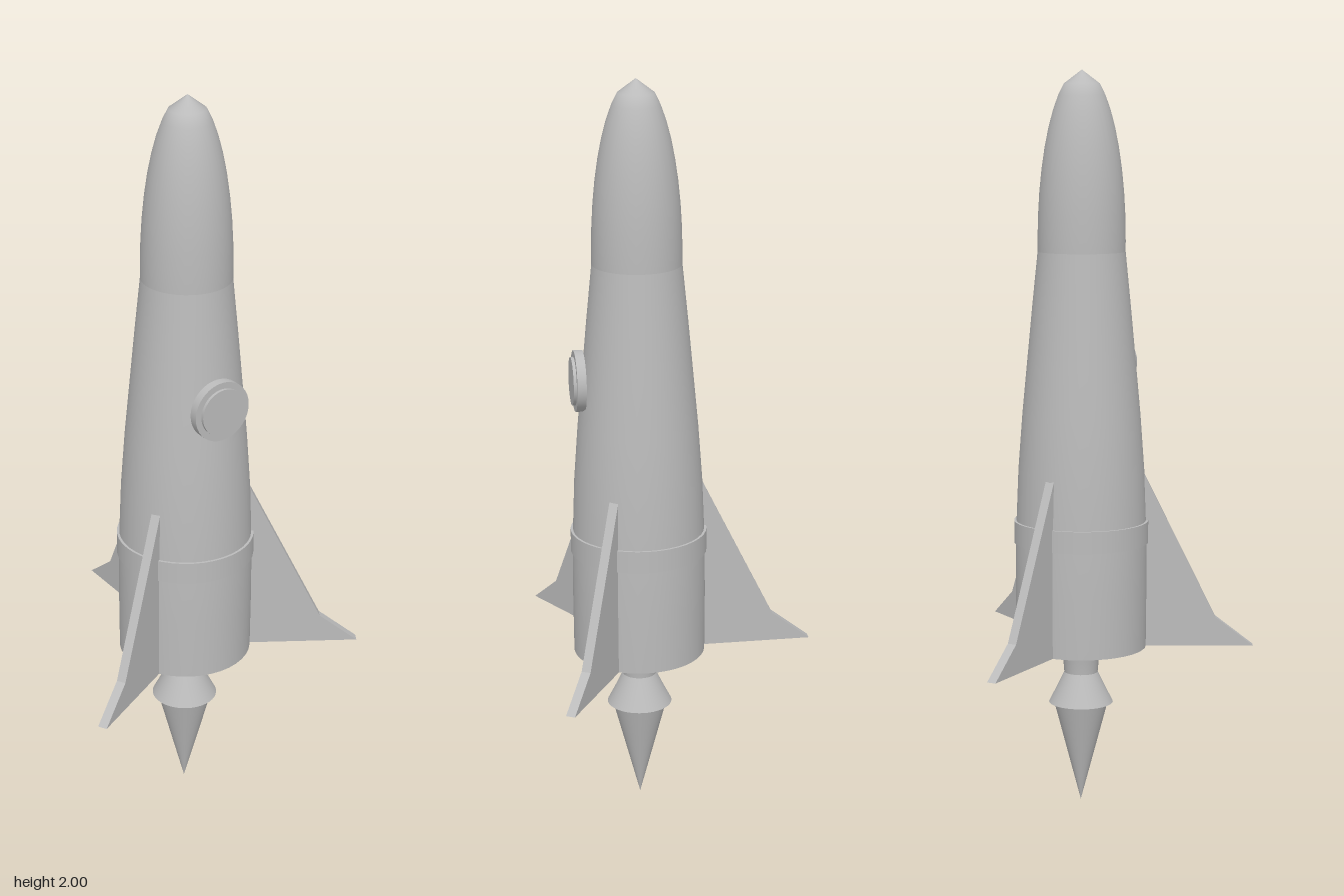
import * as THREE from 'three';

export function createModel() {
  const model = new THREE.Group();
  model.name = 'rocket';
  const grey = new THREE.MeshStandardMaterial({ color: 0xbbbbbb });
  grey.name = 'plain grey';

  // everything turns around one upright axis, set forward of the origin
  const rocket = new THREE.Group();
  rocket.name = 'rocketAssembly';
  rocket.position.z = 0.111;
  model.add(rocket);

  const add = (name, geometry, parent = rocket) => {
    const mesh = new THREE.Mesh(geometry, grey);
    mesh.name = name;
    parent.add(mesh);
    return mesh;
  };
  // profile points are [radius, height], bottom to top
  const lathe = (points) =>
    new THREE.LatheGeometry(points.map(([r, y]) => new THREE.Vector2(r, y)), 40);

  // tapered hull and its flat base
  add('hull', lathe([
    [0.178, 0.44], [0.179, 0.6], [0.178, 0.75], [0.171, 0.93],
    [0.16, 1.08], [0.147, 1.22], [0.133, 1.37], [0.118, 1.52],
  ]));
  const base = add('hullBase', new THREE.CircleGeometry(0.178, 40));
  base.rotation.x = Math.PI / 2;
  base.position.y = 0.44;

  // rounded nose with a short pointed tip
  const nose = [[0.118, 1.52]];
  for (let i = 0; i <= 8; i++) {
    const a = (i / 8) * 1.15;
    nose.push([0.118 * Math.cos(a), 1.55 + 0.453 * Math.sin(a)]);
  }
  add('noseCone', lathe([...nose, [0, 2]]));

  // raised band around the hull
  const band = add('hullBand', new THREE.CylinderGeometry(0.183, 0.183, 0.06, 40));
  band.position.y = 0.76;

  // engine bell, its underside and the flame
  add('engineNeck', lathe([[0.046, 0.365], [0.049, 0.4], [0.056, 0.44]]));
  add('engineBell', lathe([[0.088, 0.28], [0.066, 0.323], [0.046, 0.365]]));
  const rim = add('engineRim', new THREE.CircleGeometry(0.088, 40));
  rim.rotation.x = Math.PI / 2;
  rim.position.y = 0.28;
  const flame = add('flame', new THREE.ConeGeometry(0.074, 0.28, 40, 4));
  flame.rotation.x = Math.PI;
  flame.position.y = 0.14;

  // round window: frame with a slightly proud pane
  const porthole = new THREE.Group();
  porthole.name = 'porthole';
  porthole.position.set(0, 1.21, 0.144);
  porthole.rotation.x = Math.PI / 2;
  rocket.add(porthole);
  const frame = add('portholeFrame', new THREE.CylinderGeometry(0.081, 0.081, 0.024, 36), porthole);
  frame.position.y = 0.012;
  const pane = add('portholePane', new THREE.CylinderGeometry(0.064, 0.064, 0.03, 36), porthole);
  pane.position.y = 0.017;

  // three swept fins, one at the back and two toward the front
  const outline = new THREE.Shape(
    [[0.165, 0.44], [0.472, 0.44], [0.368, 0.52], [0.165, 0.93]]
      .map(([r, y]) => new THREE.Vector2(r, y)));
  const finGeometry = new THREE.ExtrudeGeometry(outline, { depth: 0.025, bevelEnabled: false });
  finGeometry.translate(0, 0, -0.0125);
  ['backFin', 'rightFin', 'leftFin'].forEach((name, i) => {
    add(name, finGeometry).rotation.y = Math.PI / 2 + (i * Math.PI * 2) / 3;
  });

  return model;
}
